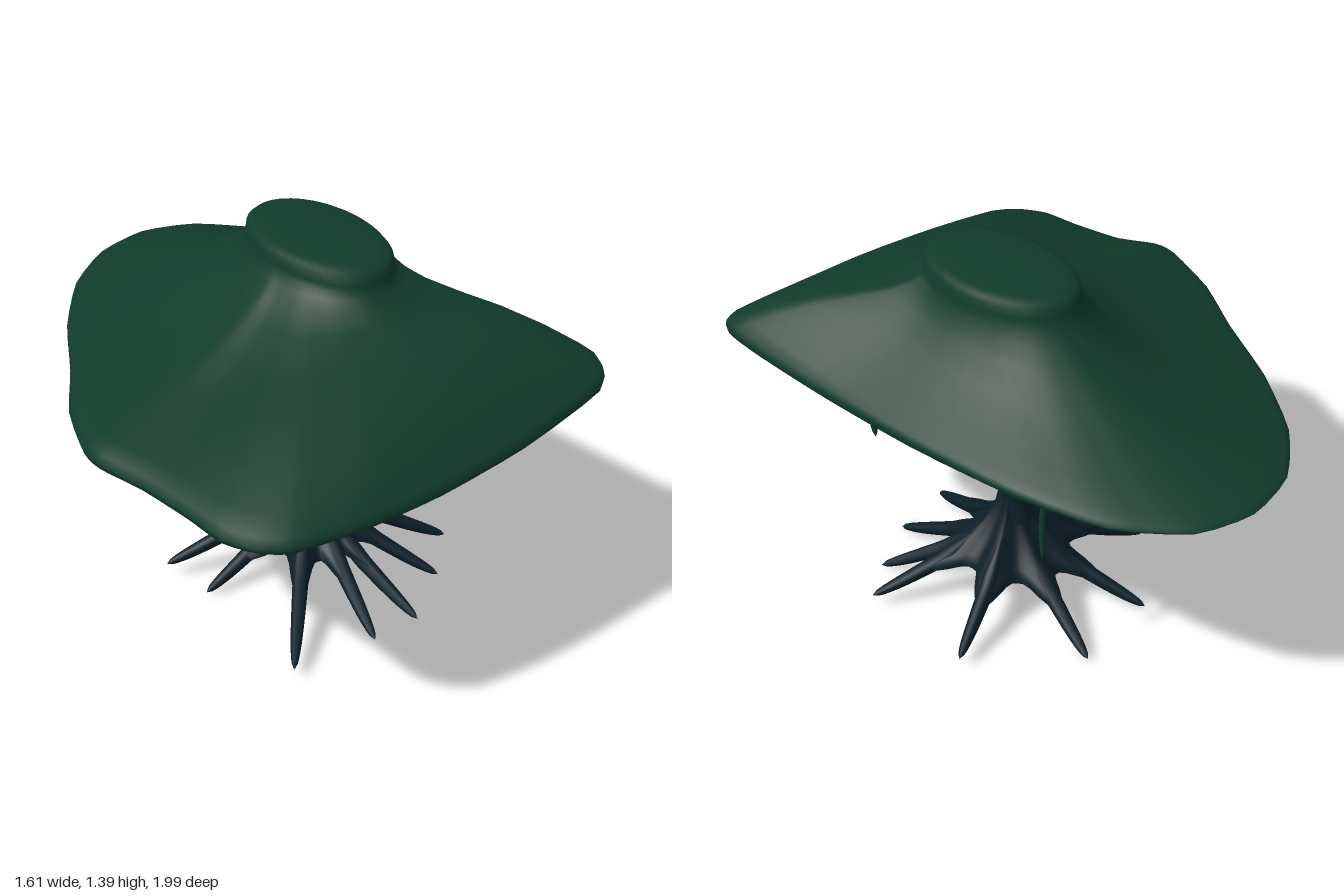
import * as THREE from 'three';

const V = (x, y, z) => new THREE.Vector3(x, y, z);
const { lerp, smoothstep } = THREE.MathUtils;
const material = (color) => new THREE.MeshStandardMaterial({ color, side: THREE.DoubleSide });

// Surface through closed rings of points
function loft(rings) {
  const n = rings[0].length, index = [];
  for (let k = 0; k < rings.length - 1; k++) {
    for (let i = 0; i < n; i++) {
      const a = k * n + i, b = k * n + (i + 1) % n;
      index.push(a, b, a + n, b, b + n, a + n);
    }
  }
  const geo = new THREE.BufferGeometry().setFromPoints(rings.flat());
  geo.setIndex(index);
  geo.computeVertexNormals();
  return geo;
}

// Tube whose radius follows a rule along its length
function taperedTube(points, radiusAt, segments = 20, sides = 8) {
  const curve = new THREE.CatmullRomCurve3(points);
  const geo = new THREE.TubeGeometry(curve, segments, 1, sides);
  const pos = geo.attributes.position, p = V(0, 0, 0);
  for (let i = 0; i < pos.count; i++) {
    const t = Math.floor(i / (sides + 1)) / segments;
    const c = curve.getPointAt(t);
    p.fromBufferAttribute(pos, i).sub(c).multiplyScalar(radiusAt(t)).add(c);
    pos.setXYZ(i, p.x, p.y, p.z);
  }
  return geo;
}

// Cap: an uneven rim lofted up to an oval crown, with a hollow underside
function capGeometry() {
  const outline = [
    [0.13, 0.93, -1], [0.33, 0.93, -0.94], [0.51, 0.935, -0.75], [0.62, 0.945, -0.46],
    [0.7, 0.955, -0.05], [0.75, 0.97, 0.35], [0.79, 1.0, 0.65], [0.8, 1.02, 0.82],
    [0.72, 0.995, 0.92], [0.35, 0.945, 0.97], [0, 0.922, 0.99], [-0.28, 0.92, 0.99],
    [-0.53, 0.92, 0.96], [-0.62, 0.92, 0.9], [-0.68, 0.92, 0.8], [-0.7, 0.92, 0.65],
    [-0.74, 0.922, 0.45], [-0.8, 0.935, 0.3], [-0.8, 0.935, 0.2], [-0.73, 0.925, -0.02],
    [-0.6, 0.922, -0.25], [-0.46, 0.922, -0.53], [-0.28, 0.922, -0.79], [-0.08, 0.925, -0.95],
  ];
  const rim = new THREE.CatmullRomCurve3(outline.map((p) => V(...p)), true, 'catmullrom', 0.3).getPoints(72).slice(0, 72);
  const cx = 0.19, cz = 0.08, rx = 0.2, rz = 0.32;
  const crown = rim.map((p) => {
    const a = Math.atan2((p.z - cz) / rz, (p.x - cx) / rx);
    return V(cx + rx * Math.cos(a), 0, cz + rz * Math.sin(a));
  });
  const lip = (p) => 0.02 + 0.03 * smoothstep(p.z, -1, 0.3);
  const crownRing = (s, y) => crown.map((c) => V(cx + (c.x - cx) * s, y, cz + (c.z - cz) * s));
  // Ring a fraction t of the way from crown to rim, with its own height rule
  const ring = (t, height) => rim.map((p, i) =>
    V(lerp(crown[i].x, p.x, t), height(p, crown[i]), lerp(crown[i].z, p.z, t)));
  // The slope is fuller towards the front and leaner on the right
  const slopeRing = (t, f) => ring(t, (p, c) => {
    const full = 0.22 * smoothstep((c.z - cz) / rz, 0.1, 0.9) * Math.sin(Math.PI * t ** 1.2);
    const lean = 0.05 * Math.max(0, (cx - c.x) / rx) * Math.sin(Math.PI * t ** 0.6);
    return lerp(p.y + lip(p), 1.36, f + full - lean);
  });
  const edgeRing = (t, h) => ring(t, (p) => p.y + lip(p) * h);
  const underRing = (t, f) => ring(t, (p) => lerp(p.y + 0.005, 1.1, f));
  const slope = [[0.03, 0.84], [0.08, 0.74], [0.18, 0.6], [0.36, 0.42], [0.55, 0.28], [0.75, 0.15], [0.9, 0.06]];
  return loft([
    crownRing(0.001, 1.39), crownRing(0.5, 1.389), crownRing(0.8, 1.385), crownRing(0.93, 1.376),
    crownRing(0.99, 1.36), crownRing(1, 1.335), crownRing(1.03, 1.315),
    ...slope.map(([t, f]) => slopeRing(t, f)),
    edgeRing(0.975, 1.1), edgeRing(1, 0.65), edgeRing(0.995, 0.25), edgeRing(0.97, 0),
    ...[[0.92, 0.05], [0.75, 0.3], [0.5, 0.6], [0.25, 0.83], [0, 0.97]].map(([t, f]) => underRing(t, f)),
    crownRing(0.001, 1.1),
  ]);
}

// Root tips in order around the trunk, and the crest line from trunk to tip
const tips = [
  [-0.27, 0.03, 0.06], [-0.33, 0.07, -0.12], [-0.06, 0.035, -0.39], [0.28, 0.03, -0.44], [0.63, 0.06, -0.15],
  [0.65, 0.06, 0.32], [0.5, 0.03, 0.46], [0.29, 0.015, 0.6], [0.07, 0.05, 0.63], [-0.26, 0.06, 0.6],
].map((p) => V(...p));
const crest = (tip, t, drop) => V(lerp(0.18, tip.x, t),
  tip.y + 0.3 * (1 - t) + 0.25 * Math.exp(-t / 0.1) - drop, lerp(0.06, tip.z, t));

// Web of bark stretched between the roots, scalloped at its edge
function webRings() {
  const columns = tips.flatMap((tip, i) => Array.from({ length: 10 }, (_, k) => ({
    tip: tip.clone().lerp(tips[(i + 1) % tips.length], k / 10),
    w: 0.5 + 0.5 * Math.cos(k / 5 * Math.PI),
  })));
  const ring = (s, extra = 0) => columns.map(({ tip, w }) => {
    const t = lerp(0.07, 0.42 + 0.23 * w ** 1.5, s);
    return crest(tip, t, 0.008 * s + 0.035 * (1 - w) * s + extra);
  });
  const edge = ring(0.98, 0.025);
  const inner = (s) => edge.map((p) => V(lerp(0.18, p.x, s), lerp(0.16, p.y, s * s), lerp(0.06, p.z, s)));
  return {
    top: [...[0, 0.08, 0.16, 0.25, 0.4, 0.55, 0.7, 0.85, 1].map((s) => ring(s)), edge],
    under: [edge, inner(0.7), inner(0.35), inner(0.001)],
  };
}

export function createModel() {
  const model = new THREE.Group();
  const green = material(0x103b2b), bark = material(0x0b1e27), orange = material(0xe08a08);
  const add = (name, geo, mat, parent = model) => {
    const mesh = new THREE.Mesh(geo, mat);
    mesh.name = name;
    parent.add(mesh);
    return mesh;
  };
  const group = (name) => {
    const g = new THREE.Group();
    g.name = name;
    model.add(g);
    return g;
  };

  add('cap', capGeometry(), green);

  // Trunk: oval rings, flared into the cap
  const trunkRings = [
    [1.1, 0.12, 0.09], [1.07, 0.075, 0.09], [1.02, 0.048, 0.09], [0.95, 0.037, 0.09], [0.75, 0.034, 0.08],
    [0.58, 0.036, 0.065], [0.48, 0.039, 0.06], [0.42, 0.046, 0.06], [0.34, 0.06, 0.06],
  ].map(([y, r, z]) => Array.from({ length: 24 }, (_, i) => {
    const a = i / 24 * Math.PI * 2;
    return V(0.18 + r * Math.cos(a), y, z + r * 1.4 * Math.sin(a));
  }));
  add('trunk', loft(trunkRings), bark);

  const web = webRings();
  add('rootWeb', loft(web.top), bark);
  add('rootUnderside', loft(web.under), green);

  // Roots emerging from the web and spreading to their tips
  const roots = group('roots');
  const rootRadius = (t) => lerp(0.012, 0.036, smoothstep(t, 0, 0.35)) - 0.016 * t;
  tips.forEach((tip) => {
    const path = [0.22, 0.35, 0.5, 0.65, 0.82, 1].map((t) =>
      crest(tip, t, 0.008 + rootRadius((t - 0.22) / 0.78) * (1 - t ** 4)));
    add('root', taperedTube(path, (t) => rootRadius(t) * Math.sqrt(1 - t ** 8), 24, 10), bark, roots);
  });

  // Vines hanging from the underside: path and thickness
  const vines = group('vines');
  [
    [[[-0.36, 1.0, -0.16], [-0.35, 0.88, -0.15], [-0.245, 0.75, -0.135], [-0.28, 0.64, -0.125], [-0.285, 0.55, -0.12]], 0.007],
    [[[-0.11, 1.03, 0.47], [-0.11, 0.9, 0.5], [-0.11, 0.75, 0.54], [-0.11, 0.63, 0.58]], 0.01],
    [[[-0.08, 1.01, -0.56], [-0.08, 0.9, -0.48], [-0.08, 0.77, -0.36], [-0.08, 0.62, -0.34]], 0.01],
    [[[0.09, 1.03, -0.42], [0.09, 0.9, -0.48], [0.09, 0.79, -0.55], [0.09, 0.69, -0.55]], 0.006],
    [[[0.32, 1.05, 0.57], [0.32, 0.93, 0.54], [0.32, 0.78, 0.47], [0.32, 0.64, 0.44], [0.32, 0.56, 0.47], [0.32, 0.49, 0.54]], 0.021],
    [[[0.4, 1.02, -0.44], [0.4, 0.9, -0.41], [0.405, 0.72, -0.35], [0.405, 0.51, -0.34]], 0.012],
    [[[0.55, 1.04, 0.36], [0.51, 0.95, 0.4], [0.48, 0.8, 0.45], [0.46, 0.68, 0.49], [0.455, 0.59, 0.49]], 0.018],
  ].forEach(([path, r]) => {
    const rule = (t) => r * (1 + 1.2 * Math.max(0, 1 - t * 6)) * Math.sqrt(1 - t ** 6);
    add('vine', taperedTube(path.map((p) => V(...p)), rule), green, vines);
  });

  // Glowing spots set into the bark: height, turn around the trunk, half height
  const spots = group('spots');
  [
    [0.57, 1.57, 0.037], [0.56, 0.1, 0.032], [0.73, -0.1, 0.016], [0.9, 0, 0.018],
  ].forEach(([y, a, h]) => {
    const spot = add('spot', new THREE.SphereGeometry(1, 12, 8), orange, spots);
    const z = y > 0.8 ? 0.088 : y > 0.7 ? 0.08 : 0.065;
    spot.position.set(0.18 + 0.033 * Math.cos(a), y, z + 0.049 * Math.sin(a));
    spot.scale.set(0.006, h, h * 0.55);
    spot.rotation.y = -a;
  });
  return model;
}
